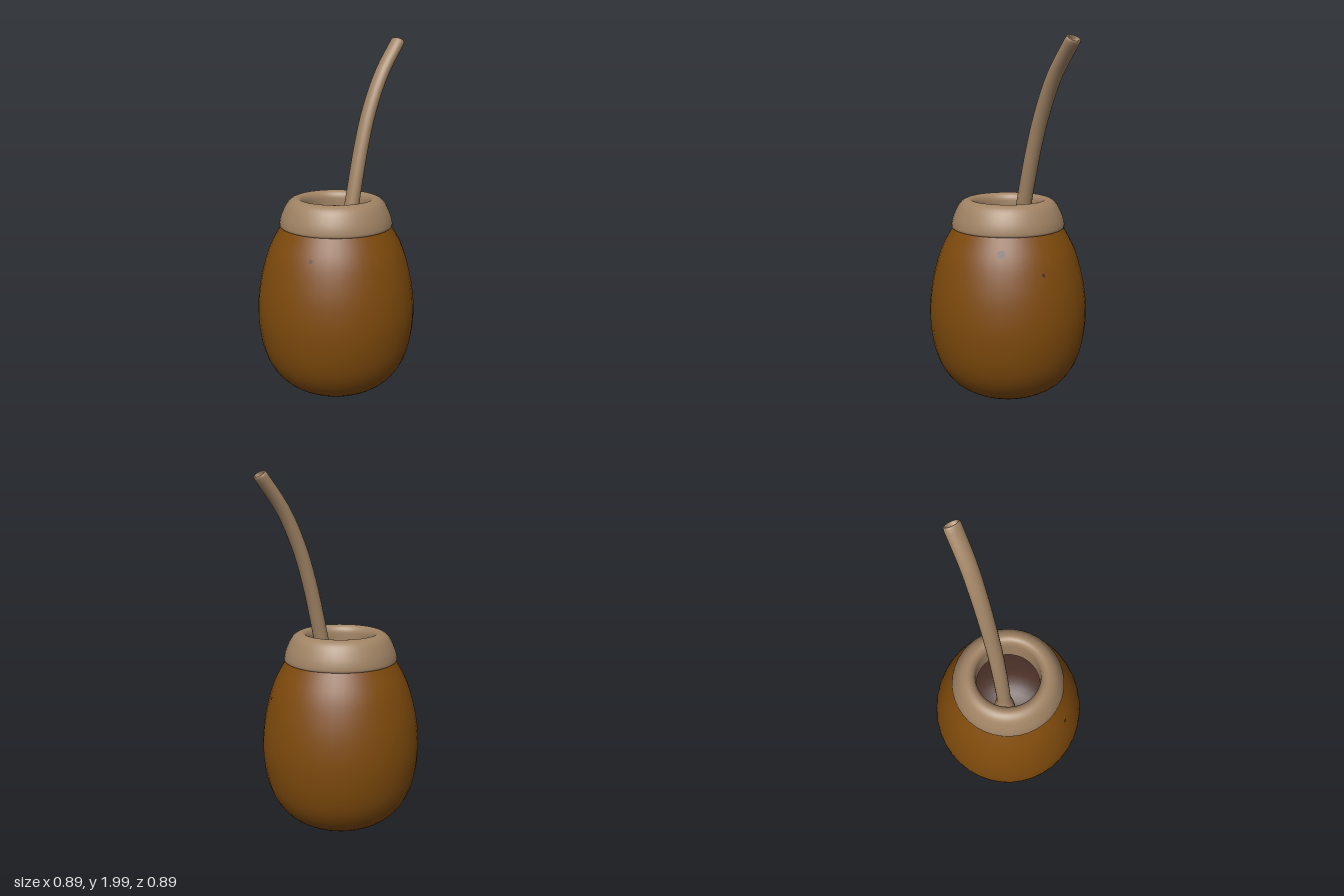
import * as THREE from 'three';

const SEGMENTS = 40;
const V2 = (p) => new THREE.Vector2(p[0], p[1]);

const material = (name, color, side = THREE.FrontSide) => {
  const m = new THREE.MeshStandardMaterial({ color, side });
  m.name = name;
  return m;
};

// Smooth profile through a few [radius, height] points
const smooth = (points, n) =>
  new THREE.SplineCurve(points.map(V2)).getPoints(n).map((p) => p.setX(Math.max(p.x, 0)));

const part = (name, geometry, mat) => {
  const mesh = new THREE.Mesh(geometry, mat);
  mesh.name = name;
  return mesh;
};

// Sweep an ellipse along a path; each station is [position 0..1, half width, half thickness]
function sweep(path, side, stations, sides) {
  const positions = [];
  const indices = [];
  stations.forEach(([u, a, b], i) => {
    const c = path.getPointAt(u);
    const n = path.getTangentAt(u).cross(side).normalize();
    for (let j = 0; j < sides; j++) {
      const t = (j / sides) * Math.PI * 2;
      const p = c.clone().addScaledVector(side, a * Math.cos(t)).addScaledVector(n, b * Math.sin(t));
      positions.push(p.x, p.y, p.z);
      if (i === stations.length - 1) continue;
      const k = (j + 1) % sides;
      const A = i * sides + j, B = i * sides + k;
      indices.push(A, B, A + sides, B, B + sides, A + sides);
    }
  });
  const g = new THREE.BufferGeometry();
  g.setAttribute('position', new THREE.Float32BufferAttribute(positions, 3));
  g.setIndex(indices);
  g.computeVertexNormals();
  return g;
}

export function createModel() {
  const group = new THREE.Group();
  group.name = 'gourdCup';
  const gourd = material('gourd brown', 0x7e4a0c);
  const tan = material('tan', 0xa08364);
  const dark = material('dark brown', 0x4a3028);

  // Gourd body
  const bodyProfile = smooth([
    [0, 0.002], [0.12, 0.008], [0.22, 0.035], [0.315, 0.095], [0.385, 0.19], [0.425, 0.31],
    [0.443, 0.46], [0.435, 0.6], [0.41, 0.73], [0.368, 0.86], [0.3, 0.985],
  ], 36);
  group.add(part('body', new THREE.LatheGeometry(bodyProfile, SEGMENTS), gourd));

  // Rounded collar that rolls over into the mouth
  const rim = smooth([
    [0.295, 0.968], [0.31, 0.97], [0.315, 0.985], [0.305, 1.03], [0.28, 1.085], [0.255, 1.115],
    [0.225, 1.128], [0.2, 1.122], [0.184, 1.1], [0.18, 1.06], [0.18, 0.95],
  ], 40);
  group.add(part('rim', new THREE.LatheGeometry(rim, SEGMENTS), tan));

  // Hollow inside
  const hollow = smooth([
    [0.18, 0.95], [0.3, 0.86], [0.38, 0.65], [0.395, 0.45], [0.34, 0.2], [0.2, 0.08], [0, 0.05],
  ], 24);
  group.add(part('hollow', new THREE.LatheGeometry(hollow, SEGMENTS), dark));

  // Bent straw with a bulb below and a flattened, open mouthpiece
  const path = new THREE.CatmullRomCurve3([
    [0.025, 0.3, -0.02], [0.04, 0.62, -0.033], [0.075, 0.95, -0.062], [0.105, 1.14, -0.085],
    [0.15, 1.4, -0.125], [0.198, 1.6, -0.165], [0.272, 1.8, -0.222], [0.372, 1.977, -0.302],
  ].map((p) => new THREE.Vector3(...p)));
  const side = new THREE.Vector3(0.63, 0, 0.78).normalize();
  const stations = [
    [0, 0.001, 0.001], [0.005, 0.035, 0.035], [0.03, 0.06, 0.06], [0.07, 0.067, 0.067],
    [0.11, 0.06, 0.06], [0.15, 0.044, 0.044],
  ];
  for (let i = 0; i <= 24; i++) {
    const f = i / 24;
    stations.push([0.18 + 0.8 * f, 0.043 + 0.003 * f, 0.042 - 0.008 * f]);
  }
  stations.push(
    [0.992, 0.046, 0.034], [0.998, 0.043, 0.031], [1, 0.038, 0.026],
    [0.997, 0.032, 0.02], [0.985, 0.029, 0.017], [0.984, 0.001, 0.001],
  );
  group.add(part('straw', sweep(path, side, stations, 20), tan));

  // Small dark blemishes lying on the skin: [height, angle from +z towards +x, radius]
  [[0.89, 1.42, 0.023], [0.855, -0.41, 0.011], [0.78, 2.0, 0.01]].forEach(([y, angle, r], i) => {
    const k = bodyProfile.findIndex((p) => p.y > y);
    const a = bodyProfile[k - 1], b = bodyProfile[k];
    const radius = THREE.MathUtils.mapLinear(y, a.y, b.y, a.x, b.x);
    const normal = new THREE.Vector3(
      Math.sin(angle) * (b.y - a.y), a.x - b.x, Math.cos(angle) * (b.y - a.y)).normalize();
    const spot = part('blemish' + (i + 1), new THREE.CircleGeometry(r, 10), dark);
    spot.position.set(Math.sin(angle) * radius, y, Math.cos(angle) * radius).addScaledVector(normal, 0.003);
    spot.quaternion.setFromUnitVectors(new THREE.Vector3(0, 0, 1), normal);
    group.add(spot);
  });

  return group;
}
